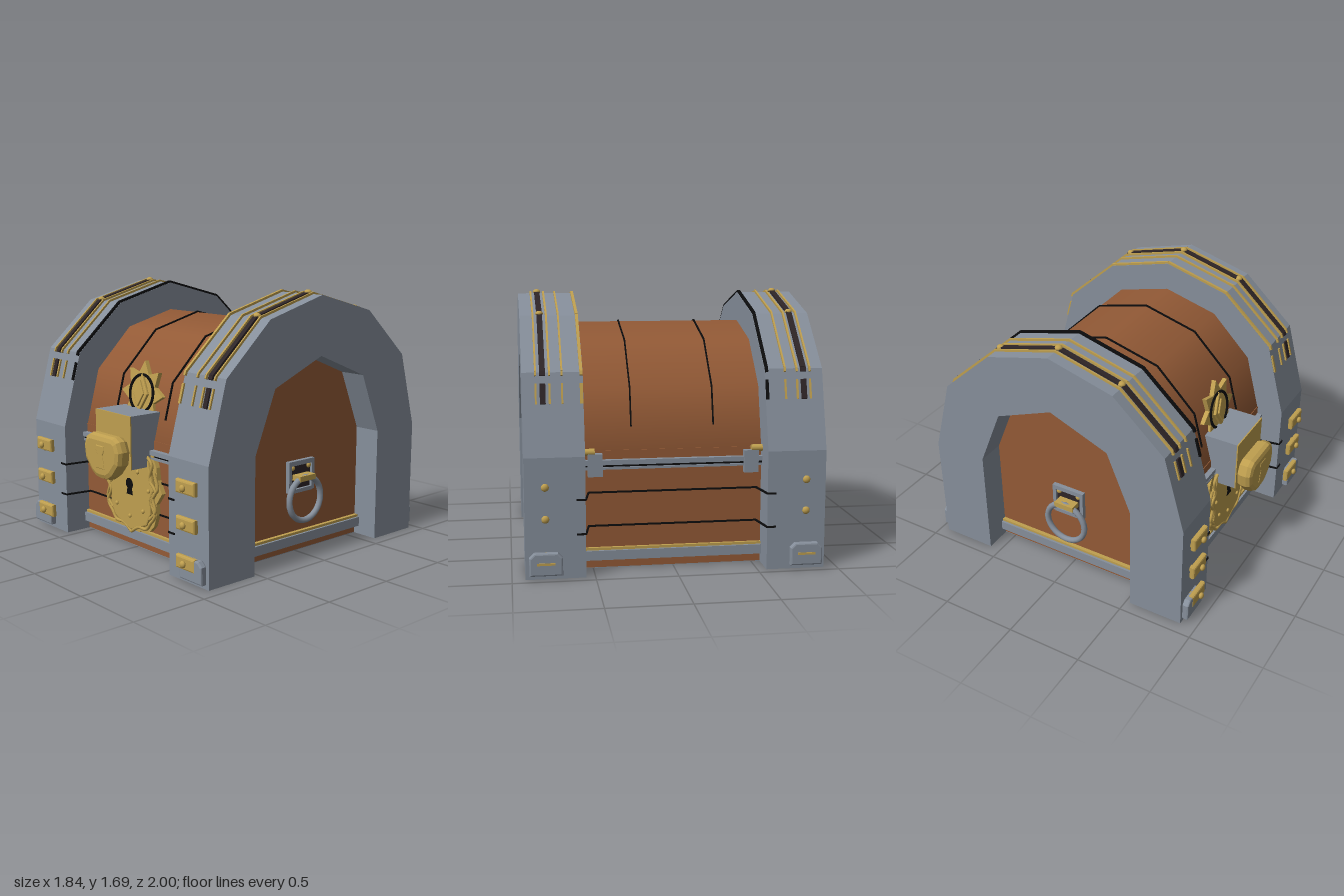
import * as THREE from 'three';

const mat = (name, color, side = THREE.FrontSide) => {
  const m = new THREE.MeshStandardMaterial({ color, side });
  m.name = name;
  return m;
};

export function createModel() {
  const chest = new THREE.Group();
  chest.name = 'treasureChest';
  const wood = mat('brownWood', 0x935a36);
  const steel = mat('greySteel', 0x868f9b);
  const gold = mat('gold', 0xbf9f4f);
  const black = mat('black', 0x0c0c0d);
  const dark = mat('darkLeather', 0x2e2527);
  const CZ = -0.025, SEAM = 0.74;

  const add = (name, geo, material, x = 0, y = 0, z = 0) => {
    const m = new THREE.Mesh(geo, material);
    m.name = name;
    m.position.set(x, y, z);
    chest.add(m);
    return m;
  };
  // box given by its limits on each axis
  const box = (name, m, x0, x1, y0, y1, z0, z1) => add(name,
    new THREE.BoxGeometry(x1 - x0, y1 - y0, z1 - z0), m, (x0 + x1) / 2, (y0 + y1) / 2, (z0 + z1) / 2);
  const shapeOf = pts => new THREE.Shape(pts.map(p => new THREE.Vector2(p[0], p[1])));
  const mirrored = half => [...half, ...half.filter(p => p[0] !== 0).reverse().map(([a, b]) => [-a, b])];
  const extrude = (pts, depth, bevel = 0) => new THREE.ExtrudeGeometry(shapeOf(pts), {
    depth, bevelEnabled: bevel > 0, bevelThickness: bevel, bevelSize: bevel, bevelOffset: -bevel, bevelSegments: 2 });
  // profile drawn in (z, y), extruded along x from x0 to x1
  const profile = (name, m, pts, x0, x1) => {
    const o = add(name, extrude(pts, x1 - x0), m, x1, 0, 0);
    o.rotation.y = -Math.PI / 2;
    return o;
  };
  // flat strip following points in (z, y)
  const strip = (name, m, pts, x, w, t) => {
    for (let i = 0; i < pts.length - 1; i++) {
      const [z0, y0] = pts[i], [z1, y1] = pts[i + 1];
      const s = add(name, new THREE.BoxGeometry(w, t, Math.hypot(z1 - z0, y1 - y0) + t * 0.4), m, x, (y0 + y1) / 2, (z0 + z1) / 2);
      s.rotation.x = Math.atan2(y0 - y1, z1 - z0);
    }
  };
  const stud = (name, x, y, z, r, axis = 'z') => {
    const s = add(name, new THREE.SphereGeometry(r, 12, 8), gold, x, y, z);
    s.scale[axis] = 0.7;
  };

  // wooden body and rounded lid
  box('body', wood, -0.74, 0.74, 0.004, SEAM, CZ - 0.74, CZ + 0.74);
  box('underside', steel, -0.74, 0.74, 0, 0.004, CZ - 0.74, CZ + 0.74);
  const lid = add('lid', new THREE.CylinderGeometry(0.735, 0.735, 1.48, 6, 1, false, 0, Math.PI), wood, 0, SEAM, CZ);
  lid.rotation.z = Math.PI / 2;

  // plank gaps over the lid
  const R = 0.738, lidPath = [[0.70, 0.88]];
  for (let i = 1; i < 6; i++) lidPath.push([R * Math.cos(i * Math.PI / 6), SEAM + R * Math.sin(i * Math.PI / 6)]);
  lidPath.push([-0.70, 0.88]);
  for (const x of [-0.257, 0.257])
    strip('lidPlankGap', black, lidPath.map(([z, y]) => [z + CZ, y]), x, 0.009, 0.014);

  // plank gaps on front and back, bent outward onto the legs
  for (const y of [0.27, 0.48]) for (const s of [1, -1]) {
    const inner = CZ + s * 0.742, outer = CZ + s * 0.922;
    const path = [[0.61, outer], [0.555, outer], [0.525, inner], [-0.525, inner], [-0.555, outer], [-0.61, outer]];
    for (let i = 0; i < path.length - 1; i++) {
      const [x0, z0] = path[i], [x1, z1] = path[i + 1];
      const g = add('bodyPlankGap', new THREE.BoxGeometry(Math.hypot(x1 - x0, z1 - z0), 0.011, 0.01), black, (x0 + x1) / 2, y, (z0 + z1) / 2);
      g.rotation.y = Math.atan2(z0 - z1, x1 - x0);
    }
  }

  // rails on front and back
  for (const s of [1, -1]) {
    const rail = (name, m, y0, y1, d) => {
      const a = CZ + s * 0.73, b = CZ + s * (0.74 + d);
      box(name, m, -0.56, 0.56, y0, y1, Math.min(a, b), Math.max(a, b));
    };
    rail('lowerRail', steel, 0.058, 0.118, 0.035);
    rail('lowerRailTrim', gold, 0.118, 0.134, 0.02);
    rail('upperRail', steel, 0.655, 0.685, 0.035);
    rail('upperRailGroove', black, 0.641, 0.655, 0.02);
    rail('upperRailLip', steel, 0.626, 0.641, 0.03);
  }

  // arch profiles about the centre line
  const outer = [[0.92, SEAM], [0.785, 1.23], [0.44, 1.545], [0, 1.665]];
  const inner = [[0.555, SEAM], [0.395, 1.13], [0, 1.29]];
  const shift = pts => pts.map(([z, y]) => [z + CZ, y]);
  const archPts = shift([...mirrored(outer), ...mirrored(inner).reverse()]);
  const bandTop = shift(mirrored([[0.797, 1.215], [0.788, 1.236], [0.442, 1.551], [0, 1.671]]));

  for (const s of [1, -1]) {
    const x0 = s > 0 ? 0.556 : -0.92, x1 = s > 0 ? 0.92 : -0.556;
    profile('arch', steel, archPts, x0, x1);
    for (const f of [1, -1]) {
      const a = CZ + f * 0.555, b = CZ + f * 0.92;
      box('cornerLeg', steel, x0, x1, 0, SEAM, Math.min(a, b), Math.max(a, b));
    }

    // inlaid bands over the arch
    const bands = [[0.838, 0.011, gold], [0.797, 0.034, dark], [0.756, 0.012, gold], [0.682, 0.011, gold],
      [0.567, 0.018, s > 0 ? gold : black]];
    for (const [x, w, m] of bands) {
      strip('archBand', m, bandTop, s * x, w, 0.016);
      for (const f of [1, -1])
        strip('archBandEnd', m, [[CZ + f * 0.839, 1.05], [CZ + f * 0.808, 1.163]], s * x, w, 0.014);
    }
    for (const [z, y] of [[0.43, 1.557], [0, 1.675], [-0.43, 1.557]]) stud('archStud', s * 0.797, y, z + CZ, 0.024, 'y');

    // buckles on the front legs, studs on the back legs
    const cx = s * 0.757, front = CZ + 0.92, back = CZ - 0.92;
    for (const y of [0.592, 0.368, 0.132]) {
      const b = add('buckle', extrude(mirrored([[0.085, -0.042], [0.085, 0.042]]), 0.014, 0.012), gold, cx, y, front + 0.022);
      b.rotation.y = 0;
      stud('buckleStud', cx, y, front + 0.062, 0.022);
    }
    for (const y of [0.562, 0.368, 0.145]) {
      stud('legStud', s * 0.797, y, front + 0.008, 0.026);
      stud('legStud', s * 0.797, y, back - 0.006, 0.024);
    }
    const bracket = [[-0.1, 0.03], [0.1, 0.03], [0.1, 0.14], [0.07, 0.17], [-0.07, 0.17], [-0.1, 0.14]];
    add('frontBracket', extrude(bracket, 0.025, 0.01), steel, s * 0.8, 0, front + 0.008);
    add('backBracket', extrude(bracket, 0.025, 0.01), steel, s * 0.797, 0, back - 0.035);
    box('backBracketSlot', gold, s * 0.797 - 0.055, s * 0.797 + 0.055, 0.098, 0.112, back - 0.05, back - 0.04);

    // hinge at the back
    const pin = add('hingePin', new THREE.CylinderGeometry(0.022, 0.022, 0.075, 12), gold, s * 0.525, 0.735, CZ - 0.76);
    pin.rotation.z = Math.PI / 2;
    box('hingePlate', steel, s * 0.485 - 0.045, s * 0.485 + 0.045, 0.585, 0.725, CZ - 0.785, CZ - 0.735);

    // end rails
    const end = (name, m, y0, y1, d) => box(name, m, Math.min(s * 0.73, s * d), Math.max(s * 0.73, s * d), y0, y1, CZ - 0.555, CZ + 0.555);
    end('endRail', steel, 0.056, 0.118, 0.78);
    end('endRailTrim', gold, 0.118, 0.134, 0.765);

    // ring handle
    const slab = (name, m, hz, y0, y1, d0, d1) => box(name, m, Math.min(s * d0, s * d1), Math.max(s * d0, s * d1), y0, y1, CZ - hz, CZ + hz);
    slab('handlePlate', dark, 0.1, 0.41, 0.59, 0.735, 0.752);
    slab('handleFrameTop', steel, 0.115, 0.575, 0.605, 0.735, 0.77);
    slab('handleFrameBottom', steel, 0.1, 0.395, 0.42, 0.735, 0.77);
    for (const f of [1, -1]) {
      box('handleFrameSide', steel, s * 0.7525 - 0.0175, s * 0.7525 + 0.0175, 0.4, 0.6, CZ + f * 0.103 - 0.012, CZ + f * 0.103 + 0.012);
      stud('handleStud', s * 0.757, 0.56, CZ + f * 0.073, 0.018, 'x');
    }
    slab('handleMount', gold, 0.07, 0.48, 0.515, 0.745, 0.825);
    const ring = add('handleRing', new THREE.TorusGeometry(0.142, 0.02, 10, 28), steel, s * 0.8, 0.357, CZ);
    ring.rotation.y = Math.PI / 2;
  }

  // hasp block with gold face
  profile('hasp', steel, [[0.62, 0.92], [0.62, 0.74], [0.72, 0.58], [0.89, 0.58], [0.89, 0.92]], -0.185, 0.185);
  box('haspFace', gold, -0.185, 0.185, 0.58, 0.92, 0.89, 0.898);

  // padlock with raised keyhole
  const lock = [[0, 0.5], [0.06, 0.505], [0.11, 0.535], [0.18, 0.615], [0.192, 0.7], [0.165, 0.765], [0.12, 0.787]];
  add('padlock', extrude(mirrored(lock), 0.035, 0.035), gold, 0, 0, 0.93);
  const hole = [[0.045, -0.075], [0.028, 0.015], [0.045, 0.045], [0.04, 0.075]];
  add('padlockKeyholeFrame', extrude(mirrored(hole), 0.008, 0.006), gold, 0, 0.648, 0.99);
  add('padlockKeyhole', extrude(mirrored(hole.map(([a, b]) => [a * 0.55, b * 0.75])), 0.003), gold, 0, 0.648, 1.001);

  // lock plate: pointed backing, smooth shield and scrollwork
  const backing = [[0, 0.08], [0.08, 0.13], [0.17, 0.145], [0.215, 0.19], [0.245, 0.27], [0.24, 0.34],
    [0.3, 0.42], [0.255, 0.5], [0.245, 0.58], [0.205, 0.66]];
  add('lockPlateBacking', extrude(mirrored(backing), 0.03), gold, 0, 0, 0.715);
  const shield = [[0, 0.125], [0.09, 0.155], [0.17, 0.19], [0.21, 0.27], [0.205, 0.36], [0.24, 0.43], [0.215, 0.52], [0.18, 0.66]];
  add('lockPlate', extrude(mirrored(shield), 0.012, 0.01), gold, 0, 0, 0.75);
  const scrolls = [[[0.17, 0.65], [0.225, 0.6], [0.2, 0.5], [0.26, 0.43], [0.215, 0.36], [0.25, 0.27], [0.19, 0.2]],
    [[0.25, 0.55], [0.28, 0.45], [0.23, 0.39], [0.255, 0.3], [0.2, 0.24]],
    [[0.21, 0.22], [0.16, 0.165], [0.08, 0.16], [0, 0.115]]];
  for (const s of [1, -1]) {
    for (const c of scrolls) {
      const curve = new THREE.CatmullRomCurve3(c.map(([x, y]) => new THREE.Vector3(s * x, y, 0.765)));
      add('lockPlateScroll', new THREE.TubeGeometry(curve, 28, 0.011, 6), gold);
    }
    for (const [x, y] of [[0.2, 0.425], [0.14, 0.28], [0.09, 0.53]]) stud('lockPlateStud', s * x, y, 0.776, 0.014);
  }
  stud('lockPlateStud', 0, 0.222, 0.776, 0.014);
  add('keyhole', new THREE.CircleGeometry(0.038, 20), black, 0, 0.437, 0.776);
  add('keyholeSlot', extrude(mirrored([[0.032, 0.365], [0.016, 0.43]]), 0.003), black, 0, 0, 0.773);

  // sun ornament on the lid
  const sun = new THREE.Group();
  sun.name = 'sunOrnament';
  const rays = Array.from({ length: 16 }, (_, i) => {
    const r = i % 2 ? 0.135 : 0.212, a = i * Math.PI / 8;
    return [r * Math.cos(a), r * Math.sin(a)];
  });
  const diamond = [[0.075, 0], [0, 0.13], [-0.075, 0], [0, -0.13]];
  sun.add(add('sunRays', extrude(rays, 0.03), gold, 0, 0, -0.02));
  sun.add(add('sunRing', new THREE.TorusGeometry(0.12, 0.01, 8, 32), black, 0, 0, 0.012));
  sun.add(add('sunDiamond', extrude(diamond, 0.008, 0.008), gold, 0, 0, 0.012));
  sun.add(add('sunDiamondCentre', extrude(diamond.map(p => p.map(v => v * 0.65)), 0.006, 0.005), gold, 0, 0, 0.028));
  sun.position.set(0, 1.015, 0.655);
  sun.rotation.x = -0.14;
  chest.add(sun);

  return chest;
}
